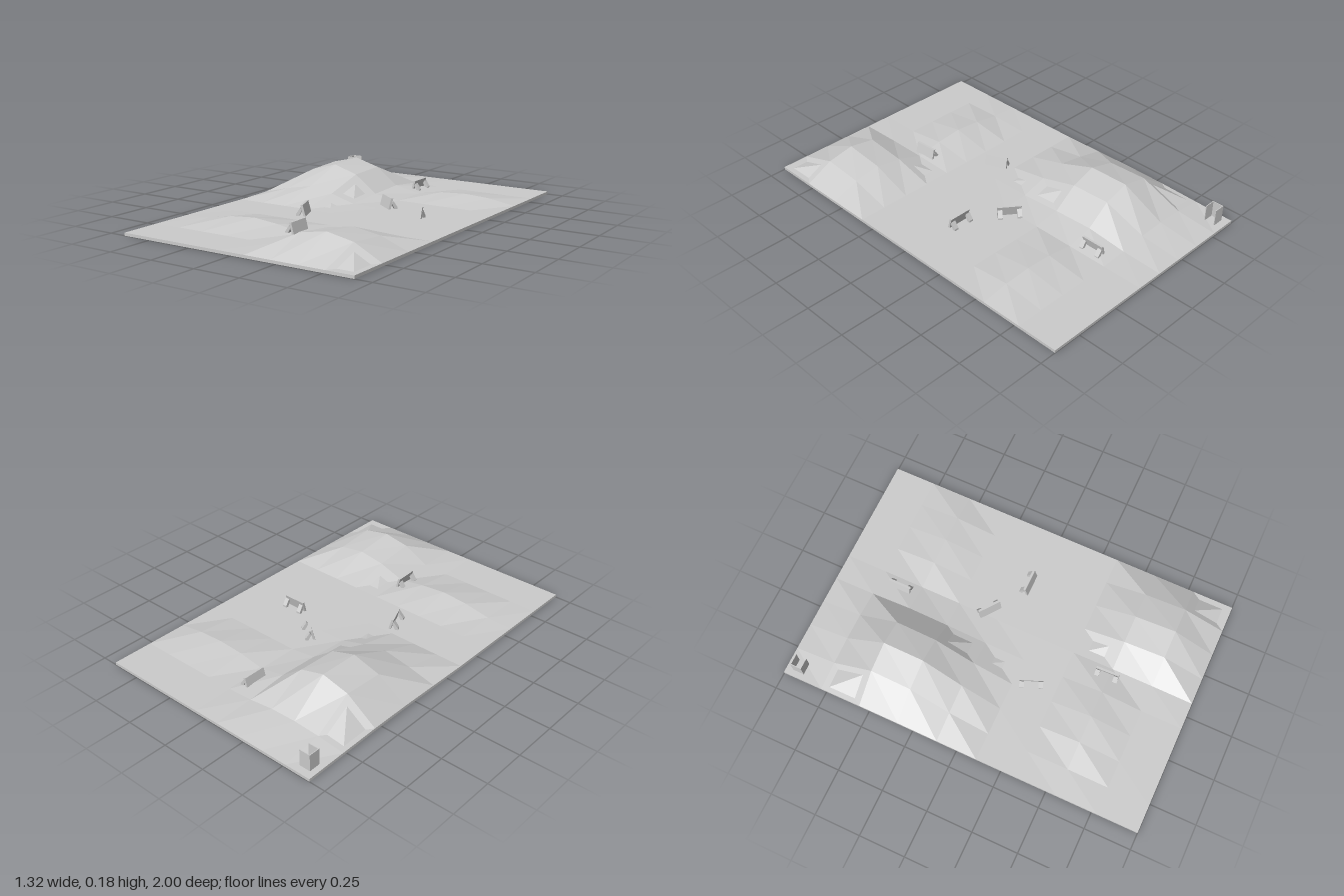
import * as THREE from 'three';

const grey = new THREE.MeshStandardMaterial({ color: 0xcccccc, flatShading: true, side: THREE.DoubleSide });
const BASE = 0.015;       // thickness of the ground sheet
const W = 1.32, L = 2, N = 9;

// Heights above the flat ground: rows run from back to front, columns from -x to +x
const heights = [
  [0, 0, 0, 0, 0, 0, 0, 0, 0, 0],
  [0.005, 0.022, 0.03, 0.026, 0.008, 0, 0, 0, 0, 0],
  [0.01, 0.126, 0.163, 0.124, 0.03, 0, 0.024, 0.032, 0.024, 0],
  [0.01, 0.115, 0.158, 0.115, 0.02, 0, 0, 0, 0, 0],
  [0.005, 0.042, 0.07, 0.045, 0.005, 0, 0, 0, 0, 0],
  [0, 0, 0, 0, 0, 0, 0, 0, 0, 0],
  [0, 0, 0, 0, 0, 0, 0, 0, 0, 0],
  [0, 0.006, 0.032, 0.044, 0.03, 0.005, 0.055, 0.078, 0.055, 0],
  [0, 0, 0, 0, 0, 0.005, 0.077, 0.102, 0.074, 0],
  [0, 0, 0, 0, 0, 0, 0, 0, 0, 0],
];

function box(name, w, h, d, x, y, z, parent) {
  const mesh = new THREE.Mesh(new THREE.BoxGeometry(w, h, d), grey);
  mesh.name = name;
  mesh.position.set(x, y, z);
  parent.add(mesh);
  return mesh;
}

// Thin sheet whose top and underside both follow the hills
function makeGround() {
  const geo = new THREE.BoxGeometry(W, BASE, L, N, 1, N);
  const p = geo.attributes.position;
  for (let i = 0; i < p.count; i++) {
    const col = Math.round((p.getX(i) / W + 0.5) * N);
    const row = Math.round((p.getZ(i) / L + 0.5) * N);
    const h = heights[row][col];
    // the steep hill leans slightly towards +x
    const lean = col > 0 && col < 4 && row < 5 ? h * 0.16 : 0;
    p.setX(i, p.getX(i) + lean);
    p.setY(i, p.getY(i) + BASE / 2 + h);
  }
  geo.computeVertexNormals();
  const mesh = new THREE.Mesh(geo, grey);
  mesh.name = 'hillyGround';
  return mesh;
}

// Extrudes a (z, y) outline along x, centred on x
function slab(name, outline, width, x, parent) {
  const shape = new THREE.Shape(outline.map(([z, y]) => new THREE.Vector2(-z, y)));
  const geo = new THREE.ExtrudeGeometry(shape, { depth: width, bevelEnabled: false });
  geo.translate(0, 0, -width / 2).rotateY(Math.PI / 2);
  const mesh = new THREE.Mesh(geo, grey);
  mesh.name = name;
  mesh.position.x = x;
  parent.add(mesh);
}

// Leaning cover panel with two sloping props behind; the panel faces local +z
function makeBarrier(x, y, z, angle) {
  const g = new THREE.Group();
  g.name = 'barrier';
  slab('panel', [[0.024, 0], [0.012, 0], [-0.003, 0.058], [0.009, 0.058]], 0.125, 0, g);
  for (const side of [-1, 1]) {
    slab('prop', [[-0.012, 0], [-0.027, 0], [-0.027, 0.01], [-0.004, 0.044], [0.004, 0.03]], 0.024, side * 0.05, g);
  }
  g.position.set(x, y, z);
  g.rotation.y = angle;
  return g;
}

// Small three-walled tower, open at the top and on the +x side
function makeTower() {
  const g = new THREE.Group();
  g.name = 'tower';
  const s = 0.062, h = 0.09, t = 0.004;
  box('sideWall', t, h, s, -s / 2 + t / 2, h / 2, 0, g);
  for (const side of [-1, 1]) {
    box('endWall', s, h, t, 0, h / 2, side * (s - t) / 2, g);
  }
  g.position.set(-0.597, BASE, -0.93);
  return g;
}

export function createModel() {
  const model = new THREE.Group();
  model.name = 'hillyField';
  model.add(makeGround(), makeTower());
  const places = [
    [0.025, BASE, -0.66, -Math.PI / 2],
    [0.108, BASE, -0.175, -0.65],
    [0.33, BASE, -0.045, 0],
    [-0.175, BASE, 0.2, 1.96],
    [0.03, 0.019, 0.54, 1.61],
  ];
  for (const place of places) model.add(makeBarrier(...place));
  return model;
}
